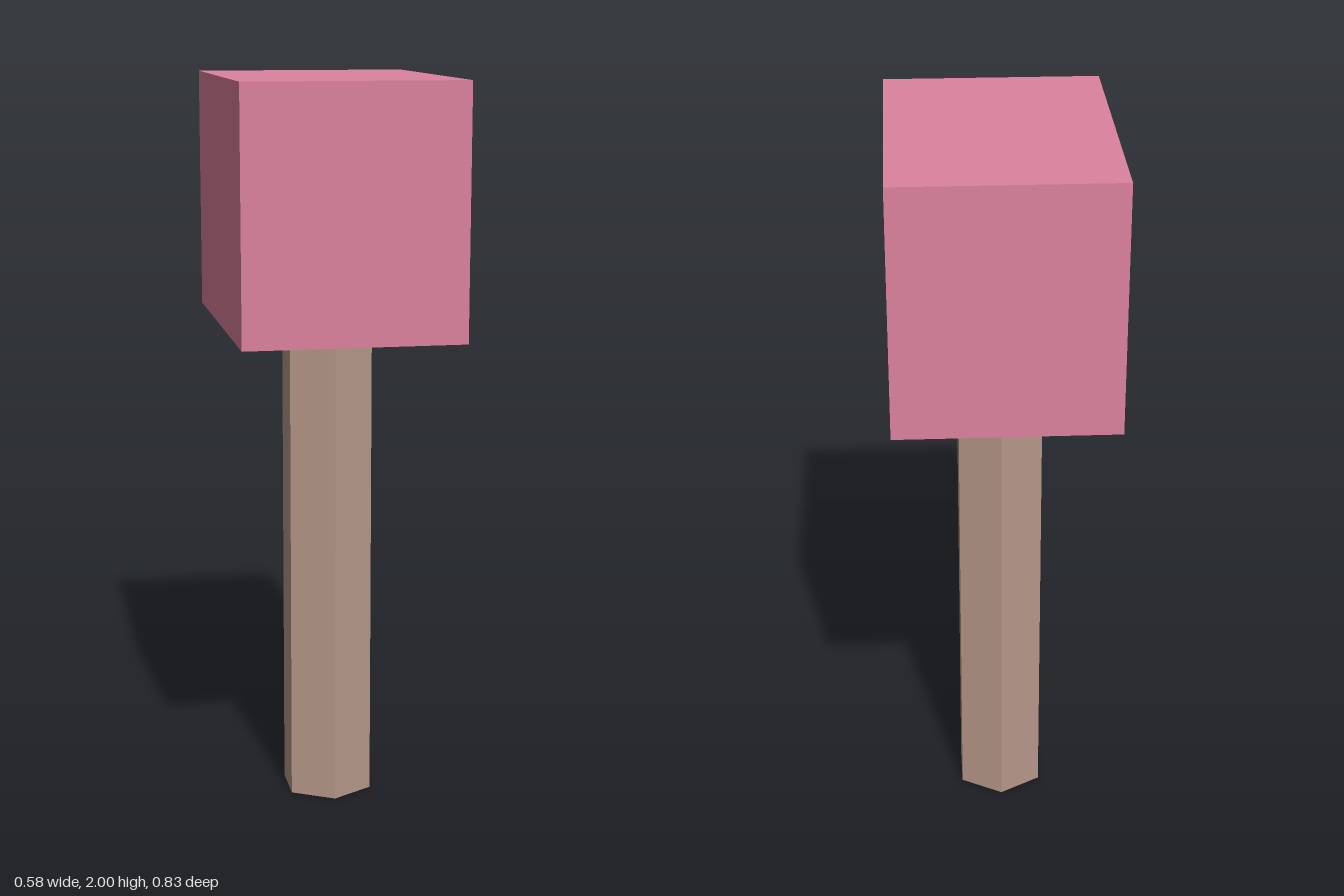
import * as THREE from 'three';

const HEAD = { width: 0.584, height: 0.663, depth: 0.832 };
const TOTAL_HEIGHT = 2;
const HANDLE_RADIUS = 0.13;

function addPart(group, name, geometry, color, y) {
  const material = new THREE.MeshStandardMaterial({ color, flatShading: true });
  const mesh = new THREE.Mesh(geometry, material);
  mesh.name = name;
  mesh.position.y = y;
  group.add(mesh);
}

export function createModel() {
  const mallet = new THREE.Group();
  mallet.name = 'mallet';

  // Block head, longest from front to back
  addPart(mallet, 'head', new THREE.BoxGeometry(HEAD.width, HEAD.height, HEAD.depth),
    0xdc829e, TOTAL_HEIGHT - HEAD.height / 2);

  // Six-sided handle with a corner facing front, ending at the head's underside
  const handleHeight = TOTAL_HEIGHT - HEAD.height;
  addPart(mallet, 'handle', new THREE.CylinderGeometry(HANDLE_RADIUS, HANDLE_RADIUS, handleHeight, 6),
    0xb8998a, handleHeight / 2);

  return mallet;
}
